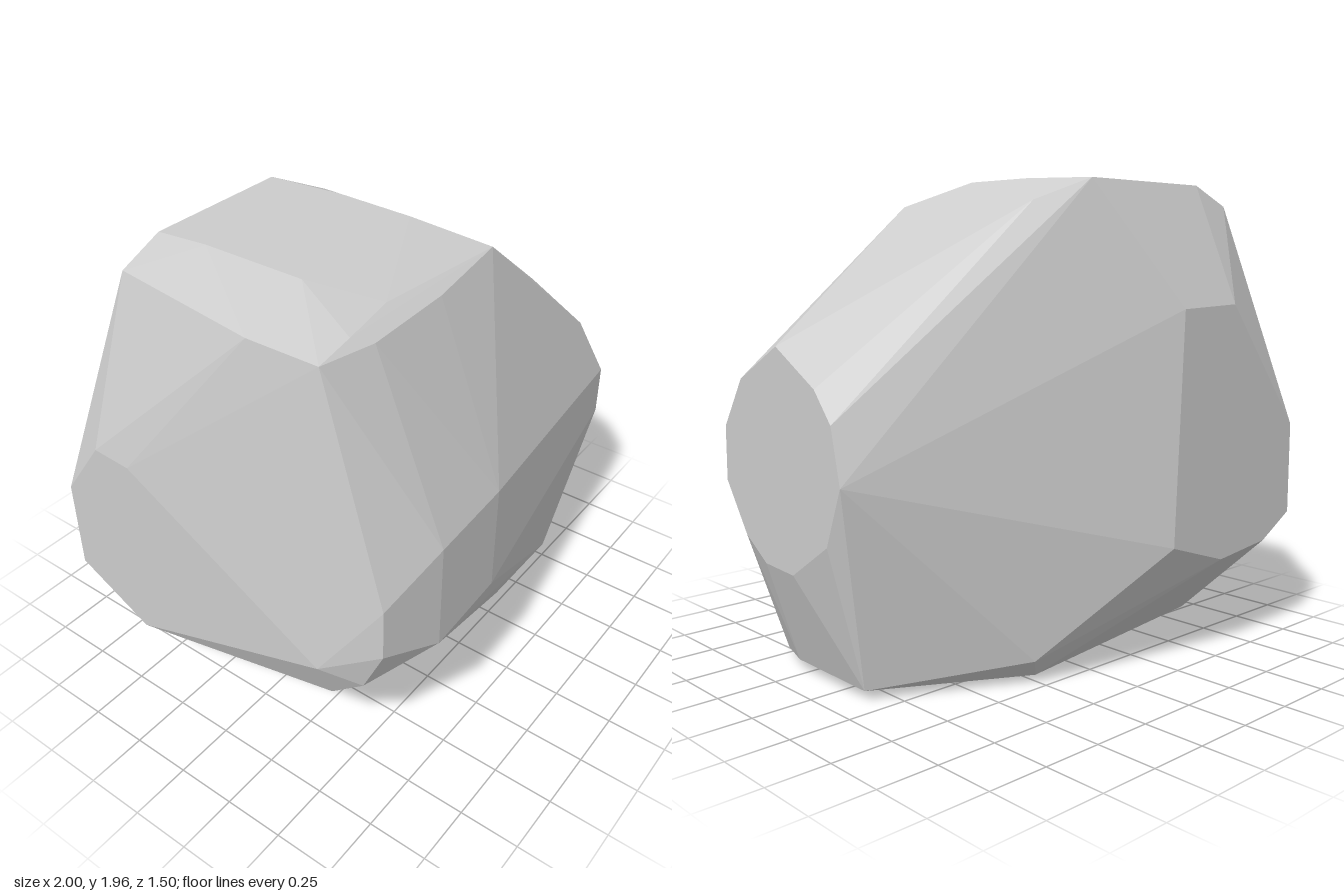
import * as THREE from 'three';
import { ConvexGeometry } from 'three/addons/geometries/ConvexGeometry.js';

// Corners lying on one flat cut: 'axis' is held at 'value', pairs give the other two coordinates
function cut(axis, value, pairs) {
  return pairs.map(([a, b]) => {
    if (axis === 'x') return new THREE.Vector3(value, b, a); // pairs are z, y
    if (axis === 'y') return new THREE.Vector3(a, value, b); // pairs are x, z
    return new THREE.Vector3(a, b, value);                   // pairs are x, y
  });
}

const corners = (list) => list.map((p) => new THREE.Vector3(...p));

export function createModel() {
  const group = new THREE.Group();
  group.name = 'boulder';
  const stone = new THREE.MeshStandardMaterial({ color: 0xcccccc, flatShading: true });
  stone.name = 'light grey stone';

  const points = [
    // narrow end
    ...cut('x', 1, [[0.18, 1.32], [0.44, 1.18], [0.57, 0.98], [0.57, 0.76], [0.43, 0.56], [0.29, 0.47],
      [0.1, 0.46], [-0.13, 0.61], [-0.22, 0.84], [-0.17, 1.06], [-0.07, 1.18]]),
    // broad end
    ...cut('x', -1, [[-0.75, 0.93], [-0.75, 0.54], [-0.41, 0.365], [-0.55, 1.2], [-0.38, 1.19]]),
    // front face
    ...cut('z', 0.75, [[-0.57, 1.08], [-0.2, 1.11], [-0.2, 0.65], [-0.57, 0.62]]),
    // back face
    ...cut('z', -0.75, [[-0.57, 1.46], [-0.25, 1.45], [-0.21, 0.51], [-0.52, 0.41], [-0.82, 0.44]]),
    // top face
    ...cut('y', 1.957, [[-0.57, 0.14], [0.06, 0.14], [0.07, -0.2], [-0.57, -0.3]]),
    // bottom face
    ...cut('y', 0, [[-0.04, -0.05], [0.2, -0.1]]),
    // chamfer corners around the top
    ...corners([
      [-0.76, 1.86, -0.54], [-0.57, 1.94, -0.54], [0.06, 1.945, -0.54], [0.25, 1.86, -0.42],
      [-0.86, 1.865, 0.14], [-0.83, 1.845, 0.42], [-0.67, 1.875, 0.42], [-0.43, 1.89, 0.39],
      [-0.6, 1.84, 0.47], [-0.2, 1.84, 0.46], [0.2, 1.86, 0.42],
    ]),
    // chamfer corners at the front of the broad end
    ...corners([
      [-0.845, 0.95, 0.69], [-0.845, 0.73, 0.69], [-0.845, 0.53, 0.6], [-0.845, 0.4, 0.45], [-0.94, 0.61, 0.46],
    ]),
    // chamfer corners around the bottom
    ...corners([
      [-0.73, 0.08, -0.39], [0.23, 0.015, -0.42], [0.29, 0.1, -0.48], [0.86, 0.04, -0.15],
      [0.86, 0.045, 0.29], [0.79, 0.03, 0.48], [0.55, 0.03, 0.48], [0.35, 0.03, 0.48],
    ]),
  ];

  const rock = new THREE.Mesh(new ConvexGeometry(points), stone);
  rock.name = 'rock';
  group.add(rock);
  return group;
}
